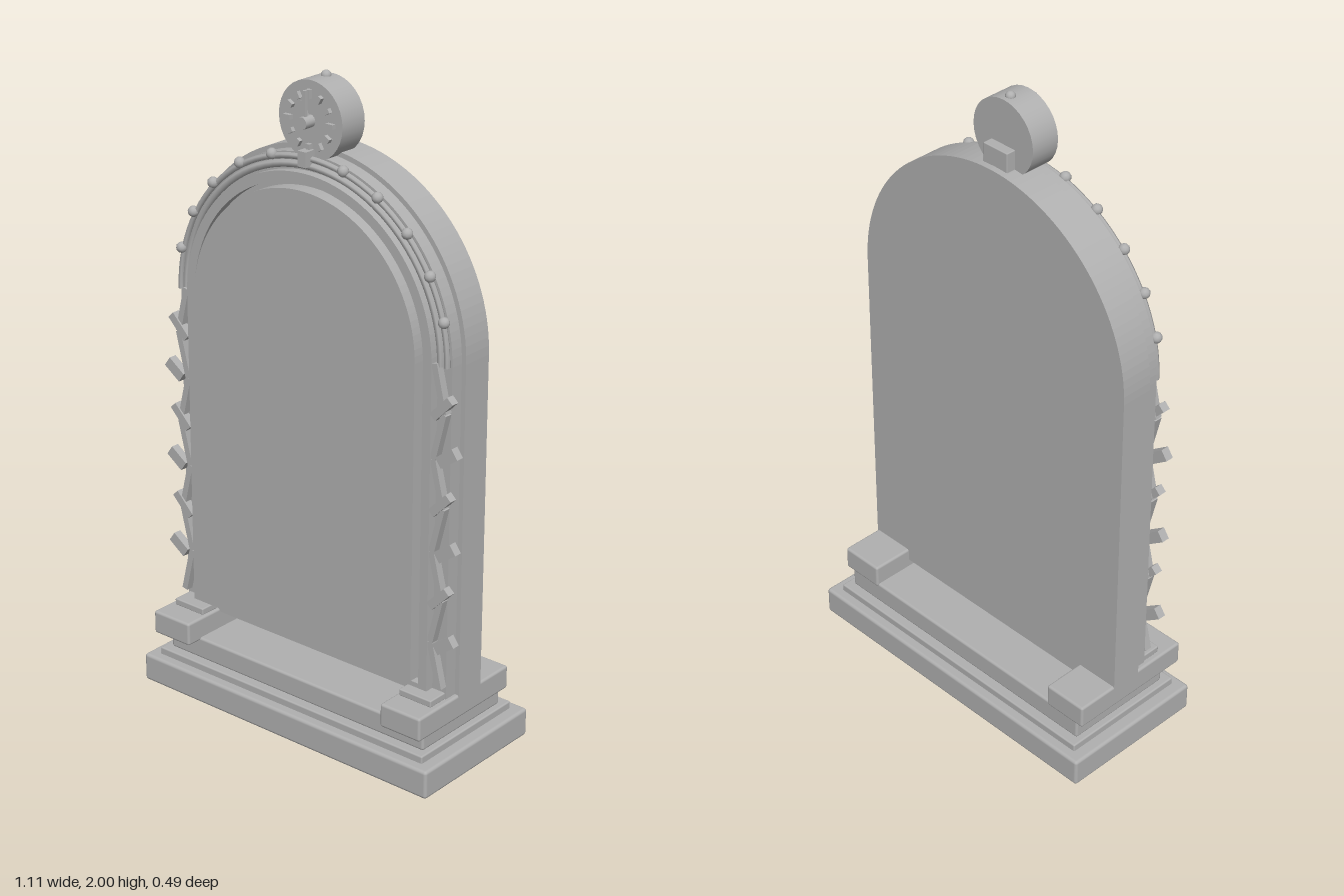
import * as THREE from 'three';
import { RoundedBoxGeometry } from 'three/addons/geometries/RoundedBoxGeometry.js';

const SPRING = 1.27; // height where the arch begins

export function createModel() {
  const model = new THREE.Group();
  const stone = new THREE.MeshStandardMaterial({ color: 0xb0b0b0 });
  stone.name = 'grey stone';

  const add = (name, geometry, x = 0, y = 0, z = 0, parent = model) => {
    const mesh = new THREE.Mesh(geometry, stone);
    mesh.name = name;
    mesh.position.set(x, y, z);
    parent.add(mesh);
    return mesh;
  };

  // Block given by its limits, with slightly softened edges
  const block = (name, x0, x1, y0, y1, z0, z1, r = 0.008) =>
    add(name, new RoundedBoxGeometry(x1 - x0, y1 - y0, z1 - z0, 2, r),
      (x0 + x1) / 2, (y0 + y1) / 2, (z0 + z1) / 2);

  const arch = (PathType, r, bottom) => {
    const p = new PathType();
    p.moveTo(-r, bottom);
    p.lineTo(r, bottom);
    p.lineTo(r, SPRING);
    p.absarc(0, SPRING, r, 0, Math.PI, false);
    p.lineTo(-r, bottom);
    return p;
  };
  const archSlab = (name, r, bottom, z0, z1, holeR, holeBottom) => {
    const shape = arch(THREE.Shape, r, bottom);
    if (holeR) shape.holes.push(arch(THREE.Path, holeR, holeBottom));
    add(name, new THREE.ExtrudeGeometry(shape, { depth: z1 - z0, bevelEnabled: false, curveSegments: 32 }), 0, 0, z0);
  };

  // Stepped base
  block('plinth', -0.555, 0.555, 0, 0.09, -0.245, 0.245, 0.01);
  block('baseStep', -0.515, 0.515, 0.085, 0.113, -0.213, 0.213, 0.005);
  block('baseTop', -0.495, 0.495, 0.11, 0.18, -0.183, 0.183);

  // Arched body, frame and front panel
  archSlab('body', 0.52, 0.205, -0.053, 0.05);
  archSlab('frame', 0.505, 0.235, 0.05, 0.092);
  archSlab('innerMoulding', 0.455, 0.265, 0.09, 0.12, 0.425, 0.28);
  archSlab('panel', 0.41, 0.29, 0.09, 0.137);

  // Rods around the arch with beads every fifteen degrees
  for (const [r, tube] of [[0.495, 0.009], [0.473, 0.011]])
    add('archRod', new THREE.TorusGeometry(r, tube, 6, 48, Math.PI), 0, SPRING, 0.102);
  for (let i = -5; i <= 5; i++) {
    if (i === 0) continue;
    const a = (i * Math.PI) / 12;
    const bead = add('bead', new THREE.IcosahedronGeometry(0.017, 1),
      Math.sin(a) * 0.502, SPRING + Math.cos(a) * 0.502, 0.107);
    bead.rotation.z = -a;
  }
  add('keyDrop', new THREE.BoxGeometry(0.03, 0.045, 0.04), 0, 1.768, 0.11);

  // Flat bar between two points in the front plane
  const bar = (name, x0, y0, x1, y1, width, depth, z) => {
    const b = add(name, new THREE.BoxGeometry(Math.hypot(x1 - x0, y1 - y0), width, depth),
      (x0 + x1) / 2, (y0 + y1) / 2, z);
    b.rotation.z = Math.atan2(y1 - y0, x1 - x0);
  };

  for (const s of [-1, 1]) {
    const [inner, outer] = s < 0 ? [-0.52, -0.375] : [0.375, 0.52];
    block('foot', inner, outer, 0.17, 0.245, -0.188, 0.233);
    const m = s * 0.443;
    block('footPad', m - 0.058, m + 0.058, 0.243, 0.265, 0.085, 0.158, 0.004);

    // Zigzag vine climbing the side
    for (let i = 0; i < 7; i++) {
      const x = (k) => s * (k % 2 ? 0.497 : 0.462);
      const y = (k) => 0.285 + k * 0.142;
      bar('vineStem', x(i + 1), y(i), x(i), y(i + 1), 0.02, 0.024, 0.106);
    }
    // Leaves, alternately reaching out and lying against the stem
    for (let i = 0; i < 6; i++) {
      const y = 0.43 + i * 0.145;
      if (i % 2 === 0) bar('outerLeaf', s * 0.485, y - 0.018, s * 0.541, y + 0.022, 0.035, 0.026, 0.11);
      else bar('innerLeaf', s * 0.462, y - 0.032, s * 0.522, y + 0.03, 0.026, 0.026, 0.11);
    }
  }

  // Clock on top
  const clock = new THREE.Group();
  clock.name = 'clock';
  clock.position.set(0, 1.87, 0);
  model.add(clock);
  const disc = (name, r, z0, z1, seg = 32) => {
    const d = add(name, new THREE.CylinderGeometry(r, r, z1 - z0, seg), 0, 0, (z0 + z1) / 2, clock);
    d.rotation.x = Math.PI / 2;
  };
  disc('clockCase', 0.115, -0.003, 0.092);
  disc('clockHub', 0.018, 0.09, 0.13, 16);
  for (let i = 0; i < 12; i++) {
    const a = (i * Math.PI) / 6;
    const tick = add('hourMark', new THREE.BoxGeometry(0.013, i % 3 ? 0.02 : 0.026, 0.016),
      Math.sin(a) * 0.077, Math.cos(a) * 0.077, 0.097, clock);
    tick.rotation.z = -a;
  }
  add('minuteHand', new THREE.BoxGeometry(0.011, 0.08, 0.01), 0, 0.05, 0.115, clock);
  const hourHand = add('hourHand', new THREE.BoxGeometry(0.014, 0.05, 0.01), -0.01, 0.033, 0.106, clock);
  hourHand.rotation.z = 0.3;
  add('clockKnob', new THREE.SphereGeometry(0.015, 12, 8), 0, 0.115, 0.025, clock);
  block('clockBracket', -0.046, 0.046, 1.78, 1.848, -0.033, 0.005, 0.003);

  return model;
}
